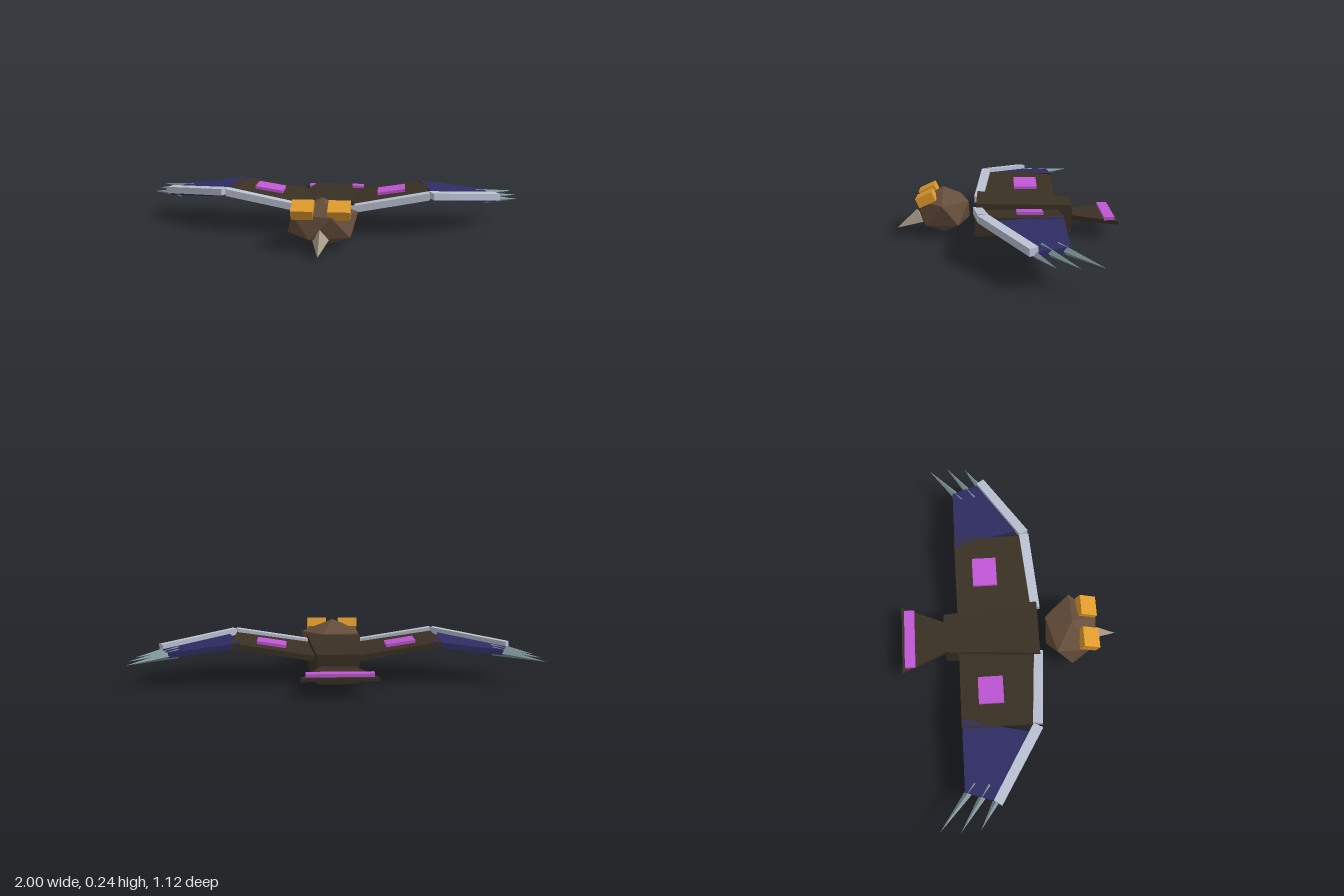
import * as THREE from 'three';
import { ConvexGeometry } from 'three/addons/geometries/ConvexGeometry.js';

const mat = (name, color) => {
  const m = new THREE.MeshStandardMaterial({ color });
  m.name = name;
  return m;
};

export function createModel() {
  const bird = new THREE.Group();
  bird.name = 'bird';

  const brown = mat('dark brown', 0x3a3024);
  const headBrown = mat('head brown', 0x664e3b);
  const gold = mat('gold', 0xdf9a2c);
  const purple = mat('purple', 0xbf56d4);
  const navy = mat('navy', 0x2e2c62);
  const silver = mat('silver', 0xb9c0d0);
  const steel = mat('steel', 0x7f9599);
  const horn = mat('horn', 0xaca28a);

  // Faceted solid around a few corner points, optionally mirrored in x
  const solid = (name, material, points, side = 1, parent = bird) => {
    const geo = new ConvexGeometry(points.map(([x, y, z]) => new THREE.Vector3(x * side, y, z)));
    const mesh = new THREE.Mesh(geo, material);
    mesh.name = name;
    parent.add(mesh);
    return mesh;
  };
  // Top outline plus the same outline lowered by a thickness
  const slab = (top, t) => [...top, ...top.map(([x, y, z]) => [x, y - t, z])];
  const both = (pts) => pts.flatMap(([x, y, z]) => [[x, y, z], [-x, y, z]]);

  // Tapered body
  solid('body', brown, both([
    [0.142, 0.185, 0.148], [0.142, 0.0135, 0.158],
    [0.102, 0.167, -0.338], [0.102, 0.022, -0.335],
  ]));

  // Flared tail with a raised band
  solid('tail', brown, both([
    [0.08, 0.11, -0.33], [0.08, 0.082, -0.33],
    [0.18, 0.104, -0.562], [0.18, 0.086, -0.562],
  ]));
  const band = new THREE.Mesh(new THREE.BoxGeometry(0.314, 0.016, 0.053), purple);
  band.name = 'tailBand';
  band.position.set(0, 0.111, -0.521);
  bird.add(band);

  // Twenty-sided head: two poles and two staggered rings
  const head = [[0, 0.245, 0.319], [0, 0.005, 0.319]];
  for (let i = 0; i < 10; i++) {
    const a = i * Math.PI / 5;
    head.push([Math.cos(a) * 0.171, 0.125 + (i % 2 ? -0.0537 : 0.0537), 0.319 + Math.sin(a) * 0.1375]);
  }
  solid('head', headBrown, head);

  // Three-sided beak
  solid('beak', horn, [[0, 0.125, 0.46], [0.04, 0.065, 0.423], [-0.04, 0.065, 0.423], [0, 0.023, 0.563]]);

  for (const side of [1, -1]) {
    const eye = new THREE.Mesh(new THREE.BoxGeometry(0.105, 0.05, 0.09), gold);
    eye.name = side > 0 ? 'leftEye' : 'rightEye';
    eye.position.set(0.0865 * side, 0.204, 0.401);
    eye.rotation.x = 0.43;
    bird.add(eye);

    const wing = new THREE.Group();
    wing.name = side > 0 ? 'leftWing' : 'rightWing';
    bird.add(wing);

    // Inner wing rising to the elbow
    solid('innerWing', brown, slab([
      [0.09, 0.145, 0.13], [0.512, 0.213, 0.1], [0.512, 0.213, -0.265], [0.09, 0.145, -0.265],
    ], 0.027), side, wing);

    // Raised pad lying on the inner wing
    solid('wingPad', purple, slab([
      [0.25, 0.186, -0.05], [0.394, 0.209, -0.05], [0.394, 0.209, -0.175], [0.25, 0.186, -0.175],
    ], 0.025), side, wing);

    // Outer wing falling to the tip
    solid('outerWing', navy, slab([
      [0.55, 0.206, 0.075], [0.87, 0.162, -0.105], [0.815, 0.17, -0.264], [0.47, 0.214, -0.262],
    ], 0.027), side, wing);

    // Silver leading edges
    solid('innerLeadingEdge', silver, slab([
      [0.12, 0.163, 0.165], [0.515, 0.231, 0.132], [0.51, 0.231, 0.083], [0.12, 0.163, 0.118],
    ], 0.036), side, wing);
    solid('outerLeadingEdge', silver, slab([
      [0.535, 0.23, 0.13], [0.888, 0.184, -0.09], [0.862, 0.186, -0.128], [0.512, 0.232, 0.086],
    ], 0.034), side, wing);

    // Pointed tip feathers
    [[0.775, -0.215, 0.992, -0.392], [0.785, -0.145, 1, -0.293], [0.81, -0.085, 0.99, -0.195]]
      .forEach(([x, z, tx, tz], i) => {
        const dir = new THREE.Vector2(tx - x, tz - z).normalize().multiplyScalar(0.023);
        solid('tipFeather' + (i + 1), steel, [
          [x, 0.18, z], [x, 0.133, z],
          [x - dir.y, 0.156, z + dir.x], [x + dir.y, 0.156, z - dir.x],
          [tx, 0.134, tz],
        ], side, wing);
      });
  }
  return bird;
}
